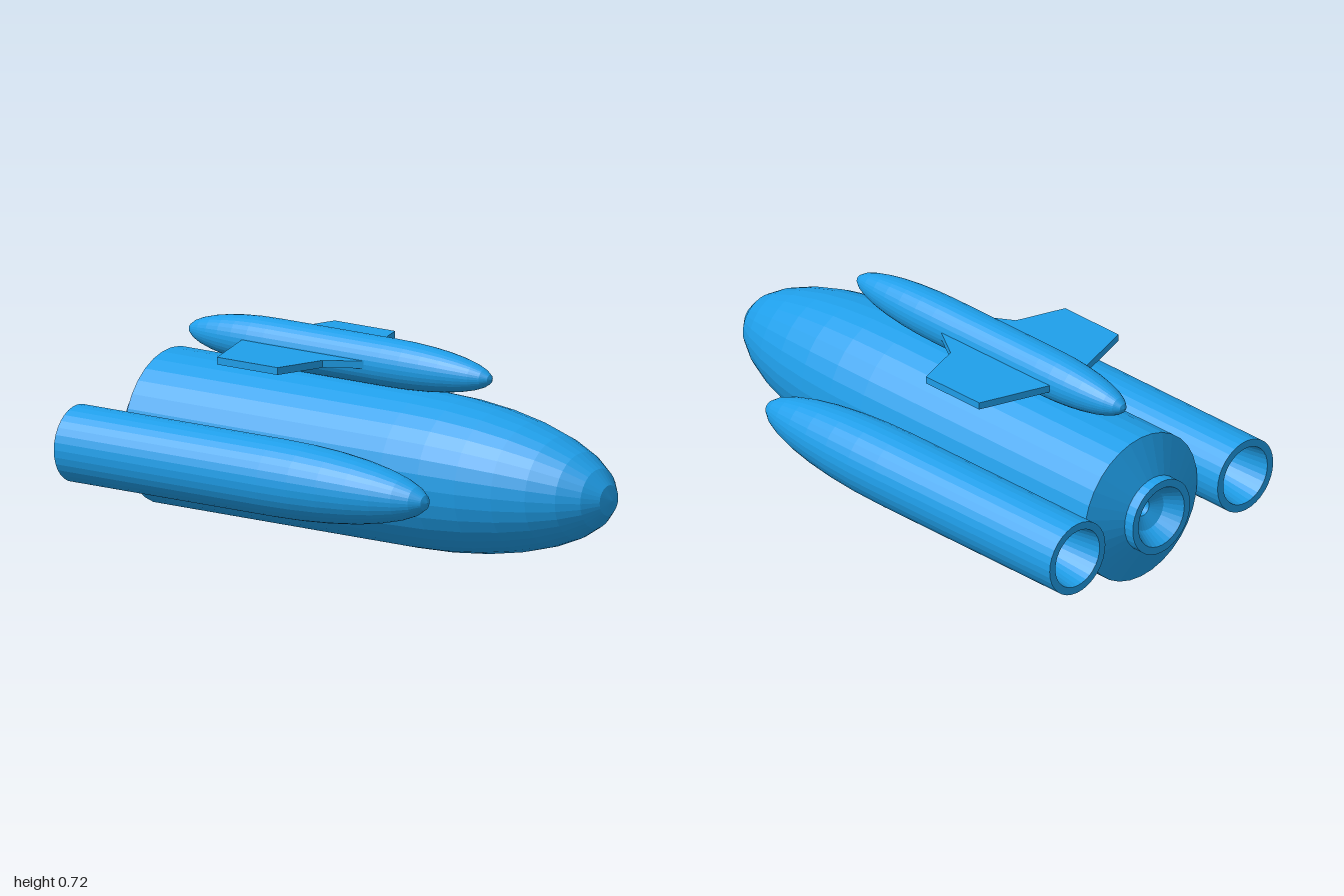
import * as THREE from 'three';

const material = new THREE.MeshStandardMaterial({ color: 0x1f9fea, flatShading: true });

// Quarter-ellipse arc of [radius, z] points from the widest ring to the tip
function nose(radius, base, tip, steps = 8) {
  return Array.from({ length: steps + 1 }, (_, i) => {
    const a = (i / steps) * Math.PI / 2;
    return [i === steps ? 0 : radius * Math.cos(a), base + (tip - base) * Math.sin(a)];
  });
}

// Body of revolution along z; profile runs from rear to front
function turned(name, profile, x, y) {
  const geometry = new THREE.LatheGeometry(profile.map(([r, z]) => new THREE.Vector2(r, z)), 32);
  geometry.rotateX(Math.PI / 2);
  const mesh = new THREE.Mesh(geometry, material);
  mesh.name = name;
  mesh.position.set(x, y, 0);
  return mesh;
}

export function createModel() {
  const model = new THREE.Group();
  model.name = 'spacecraft';
  const axisY = 0.275;

  // Central tank with tapered tail and hollow engine bell
  model.add(turned('centralTank', [
    [0, -0.87], [0.03, -0.87], [0.03, -0.91], [0.075, -0.935], [0.112, -1],
    [0.14, -1], [0.14, -0.96], [0.275, -0.9],
    ...nose(0.275, 0.2, 1),
  ], 0, axisY));

  // Side boosters with hollow rear ends
  for (const side of [1, -1]) {
    model.add(turned(side > 0 ? 'leftBooster' : 'rightBooster', [
      [0, -0.7], [0.06, -0.7], [0.108, -1], [0.136, -1],
      ...nose(0.136, -0.13, 0.51),
    ], side * 0.41, axisY));
  }

  // Small craft riding on top
  const craft = new THREE.Group();
  craft.name = 'topCraft';
  craft.add(turned('craftHull', [
    ...nose(0.085, -0.45, -0.82).reverse(),
    ...nose(0.085, 0.05, 0.48),
  ], 0, 0));

  // Flat wings spanning the hull, outlined in x and z
  const half = [[0.06, -0.01], [0.085, -0.01], [0.16, -0.13], [0.34, -0.19], [0.34, -0.45], [0.085, -0.535], [0.06, -0.535]];
  const outline = [...half, ...half.map(([x, z]) => [-x, z]).reverse()];
  const shape = new THREE.Shape(outline.map(([x, z]) => new THREE.Vector2(x, z)));
  const wingGeometry = new THREE.ExtrudeGeometry(shape, { depth: 0.026, bevelEnabled: false });
  wingGeometry.rotateX(Math.PI / 2).translate(0, 0.013, 0);
  const wings = new THREE.Mesh(wingGeometry, material);
  wings.name = 'wings';
  craft.add(wings);
  craft.position.y = 0.631;
  model.add(craft);

  return model;
}
